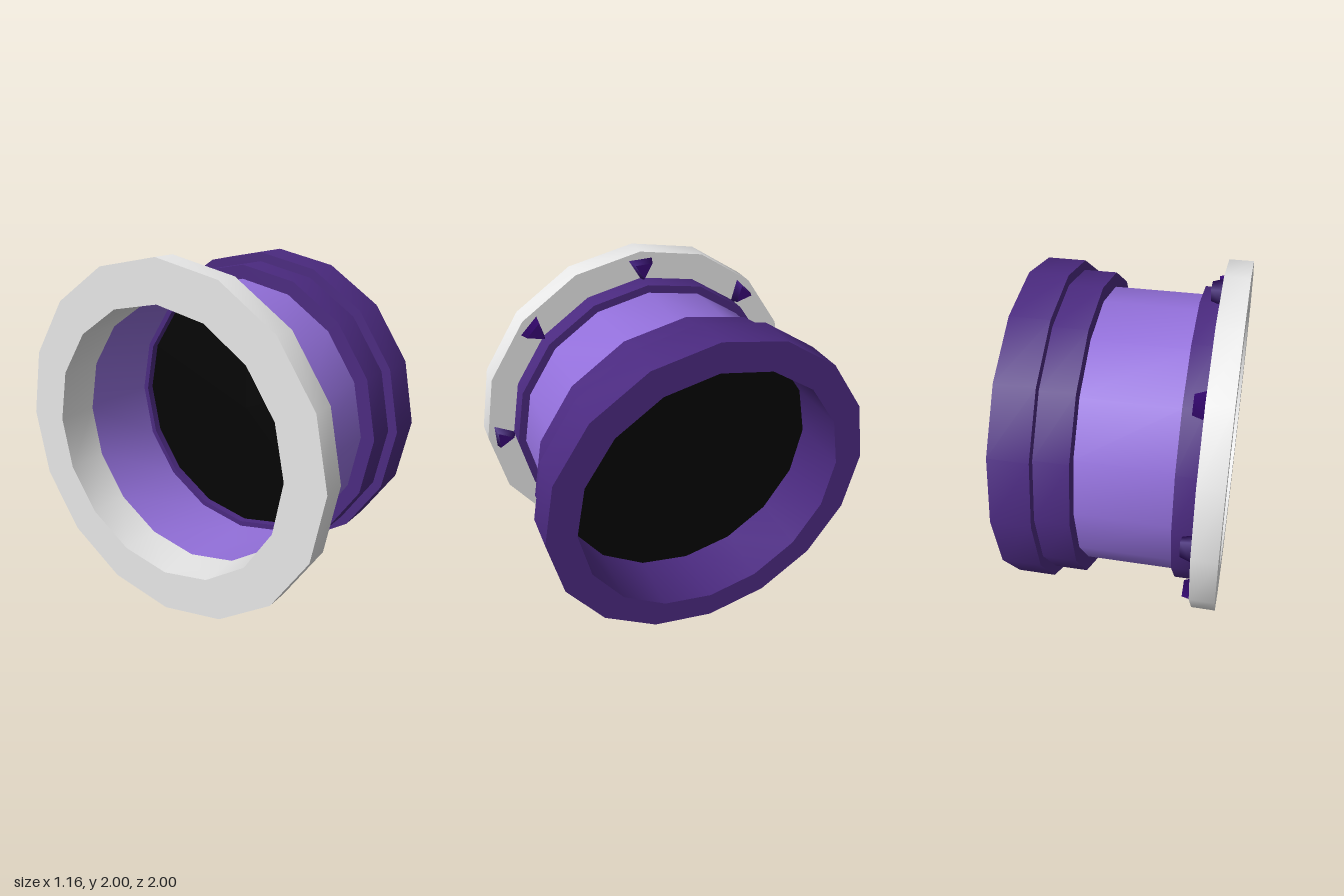
import * as THREE from 'three';
import { toCreasedNormals } from 'three/addons/utils/BufferGeometryUtils.js';

const SIDES = 16;

const mat = (name, color, side = THREE.FrontSide) => {
  const m = new THREE.MeshStandardMaterial({ color, side });
  m.name = name;
  return m;
};

// Revolves [radius, x] points around the x axis, with sharp profile corners
function turned(name, points, material) {
  const lathe = new THREE.LatheGeometry(points.map(([r, x]) => new THREE.Vector2(r, x)), SIDES);
  const geometry = toCreasedNormals(lathe, 0.6);
  geometry.rotateZ(-Math.PI / 2);
  const mesh = new THREE.Mesh(geometry, material);
  mesh.name = name;
  return mesh;
}

export function createModel() {
  const grey = mat('light grey', 0xe8e8e8);
  const purple = mat('light purple', 0x9370db, THREE.DoubleSide);
  const dark = mat('dark purple', 0x4b2a80);
  const indigo = mat('indigo', 0x360872);
  const black = mat('black', 0x050505, THREE.DoubleSide);

  const model = new THREE.Group();
  model.name = 'flangedPipe';
  const pipe = new THREE.Group();
  pipe.name = 'pipe';
  pipe.position.y = 1;
  model.add(pipe);

  // Flange with a sleeve reaching into the pipe
  pipe.add(turned('flange', [
    [0.767, -0.581], [1, -0.581], [1, -0.446], [0.81, -0.446], [0.81, -0.335],
    [0.767, -0.335], [0.767, -0.581],
  ], grey));

  // Band between flange and pipe
  pipe.add(turned('flangeBand', [
    [0.845, -0.446], [0.845, -0.331], [0.79, -0.331],
  ], dark));

  // Thin pipe wall
  pipe.add(turned('pipeWall', [[0.8, -0.332], [0.8, 0.181]], purple));

  // Stepped collar with an open mouth
  pipe.add(turned('collar', [
    [0.767, 0.18], [0.88, 0.18], [0.88, 0.365], [0.933, 0.365], [0.933, 0.58],
    [0.767, 0.58], [0.767, 0.18],
  ], dark));

  // Black disc closing the mouth
  const disc = new THREE.Mesh(new THREE.CircleGeometry(0.767, SIDES), black);
  disc.name = 'mouthDisc';
  disc.rotation.y = Math.PI / 2;
  disc.position.x = 0.225;
  pipe.add(disc);

  // Eight tapered three-sided bolts, softly shaded
  const boltGeometry = new THREE.CylinderGeometry(0.058, 0.08, 0.06, 3);
  boltGeometry.rotateZ(-Math.PI / 2); // one corner stays on +z
  boltGeometry.translate(0, 0, -0.915); // that corner points to the axis
  for (let i = 0; i < 8; i++) {
    const bolt = new THREE.Mesh(boltGeometry, indigo);
    bolt.name = 'bolt';
    bolt.position.x = -0.418;
    bolt.rotation.x = (i * Math.PI) / 4;
    pipe.add(bolt);
  }

  return model;
}
